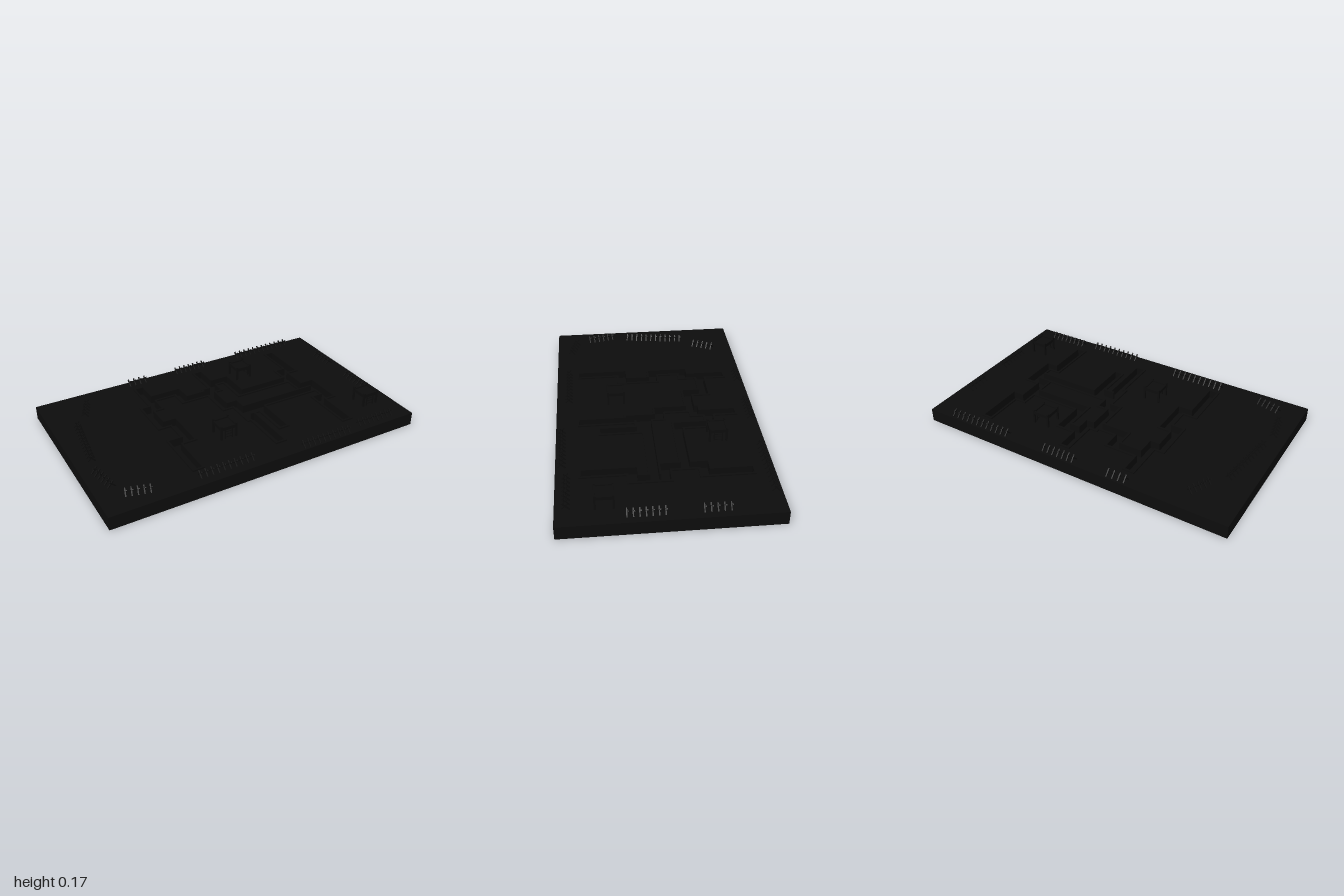
import * as THREE from 'three';

const TOP = 0.082, LIP = 0.091, FLOOR = 0.04;
const mat = new THREE.MeshStandardMaterial({ color: 0x0d0d0d, flatShading: true });

function box(parent, name, w, h, d, x, y, z) {
  const m = new THREE.Mesh(new THREE.BoxGeometry(w, h, d), mat);
  m.position.set(x, y, z);
  m.name = name;
  parent.add(m);
  return m;
}

// Trench centre lines [x, z]
const trenches = [
  [[-0.35, -0.46], [-0.35, -0.22], [-0.41, -0.22], [-0.41, -0.02], [-0.33, -0.02], [-0.33, 0.18], [-0.42, 0.18], [-0.42, 0.44]],
  [[0.08, -0.46], [0.08, -0.24], [0.03, -0.24], [0.03, -0.02], [0.1, -0.02], [0.1, 0.16], [0.12, 0.16], [0.12, 0.44]],
  [[0.65, -0.46], [0.65, -0.22], [0.58, -0.22], [0.58, 0], [0.67, 0], [0.67, 0.18], [0.6, 0.18], [0.6, 0.44]],
  [[-0.35, -0.33], [-0.15, -0.33], [-0.15, -0.22], [0.03, -0.22]],
  [[0.08, -0.32], [0.2, -0.32], [0.2, -0.12], [0.58, -0.12]],
  [[0.1, 0.06], [0.67, 0.06]],
  [[0.1, 0.1], [0.22, 0.1], [0.22, 0.32]],
];

// Rectangles around every trench segment, grown by r
function segmentRects(r) {
  return trenches.flatMap((p) => p.slice(1).map((b, i) => {
    const a = p[i];
    return [Math.min(a[0], b[0]) - r, Math.max(a[0], b[0]) + r, Math.min(a[1], b[1]) - r, Math.max(a[1], b[1]) + r];
  }));
}

// Ground block: cells between all rectangle edges, merged along x by height
function ground(parent) {
  const cut = segmentRects(0.025), lip = segmentRects(0.037);
  const edges = (i, half) => [...new Set([-half, half, ...[...cut, ...lip].flatMap((r) => [r[i], r[i + 1]])]
    .map((v) => +v.toFixed(4)))].sort((a, b) => a - b);
  const xs = edges(0, 1), zs = edges(2, 0.605);
  const inside = (rects, x, z) => rects.some((r) => x > r[0] && x < r[1] && z > r[2] && z < r[3]);
  const heightAt = (x, z) => (inside(cut, x, z) ? FLOOR : inside(lip, x, z) ? LIP : TOP);
  const g = new THREE.Group();
  g.name = 'groundWithTrenches';
  for (let j = 0; j < zs.length - 1; j++) {
    const z = (zs[j] + zs[j + 1]) / 2, d = zs[j + 1] - zs[j];
    let start = 0;
    for (let i = 0; i < xs.length - 1; i++) {
      const h = heightAt((xs[i] + xs[i + 1]) / 2, z);
      const last = i === xs.length - 2;
      if (last || heightAt((xs[i + 1] + xs[i + 2]) / 2, z) !== h) {
        box(g, 'groundStrip', xs[i + 1] - xs[start], h, d, (xs[start] + xs[i + 1]) / 2, h / 2, z);
        start = i + 1;
      }
    }
  }
  parent.add(g);
}

// Row of crossed stakes carried by a beam, from (x0, z0) to (x1, z1)
function stakeRow(parent, x0, z0, x1, z1) {
  const g = new THREE.Group();
  g.name = 'stakeBarrier';
  const len = Math.hypot(x1 - x0, z1 - z0), n = Math.round(len / 0.035);
  g.position.set((x0 + x1) / 2, 0, (z0 + z1) / 2);
  g.rotation.y = -Math.atan2(z1 - z0, x1 - x0);
  box(g, 'beam', len, 0.006, 0.006, 0, 0.104, 0);
  for (let i = 0; i <= n; i++) {
    for (const s of [-1, 1]) {
      const stake = box(g, 'stake', 0.007, 0.05, 0.007, -len / 2 + (len * i) / n + s * 0.003, 0.0995, -s * 0.0045);
      stake.rotation.x = s * Math.PI / 4;
    }
  }
  parent.add(g);
}

// Watchtower with corner posts, platform, rails and a ladder
function tower(parent, x, z, turn) {
  const g = new THREE.Group();
  g.name = 'watchtower';
  g.position.set(x, 0, z);
  g.rotation.y = turn;
  const r = 0.049;
  for (const sx of [-1, 1]) {
    for (const sz of [-1, 1]) box(g, 'post', 0.012, 0.092, 0.012, sx * r, TOP + 0.045, sz * r);
    box(g, 'sideRail', 0.008, 0.01, 0.1, sx * r, 0.159, 0);
    box(g, 'endRail', 0.1, 0.01, 0.008, 0, 0.159, sx * r);
    box(g, 'ladderSide', 0.006, 0.066, 0.006, sx * 0.024, TOP + 0.033, r);
  }
  box(g, 'platform', 0.106, 0.012, 0.106, 0, 0.149, 0);
  for (let i = 0; i < 3; i++) box(g, 'rung', 0.048, 0.005, 0.006, 0, 0.096 + i * 0.018, r);
  parent.add(g);
}

export function createModel() {
  const model = new THREE.Group();
  model.name = 'trenchBoard';
  ground(model);

  const rows = [
    // back edge
    [-0.38, -0.57, -0.27, -0.57], [-0.04, -0.57, 0.16, -0.57], [0.43, -0.57, 0.83, -0.57],
    // +x edge
    [0.94, -0.31, 0.94, -0.17], [0.94, 0.03, 0.94, 0.23],
    // -x side
    [-0.715, -0.47, -0.77, -0.35], [-0.85, -0.26, -0.9, 0.11], [-0.92, 0.22, -0.89, 0.38], [-0.85, 0.475, -0.72, 0.51],
    // front edge
    [-0.44, 0.53, -0.11, 0.53], [0.21, 0.57, 0.53, 0.57], [0.63, 0.545, 0.87, 0.545],
  ];
  for (const r of rows) stakeRow(model, ...r);

  tower(model, -0.12, 0.235, 0);
  tower(model, 0.32, -0.335, Math.PI / 2);
  tower(model, 0.835, 0.345, 0);
  return model;
}
